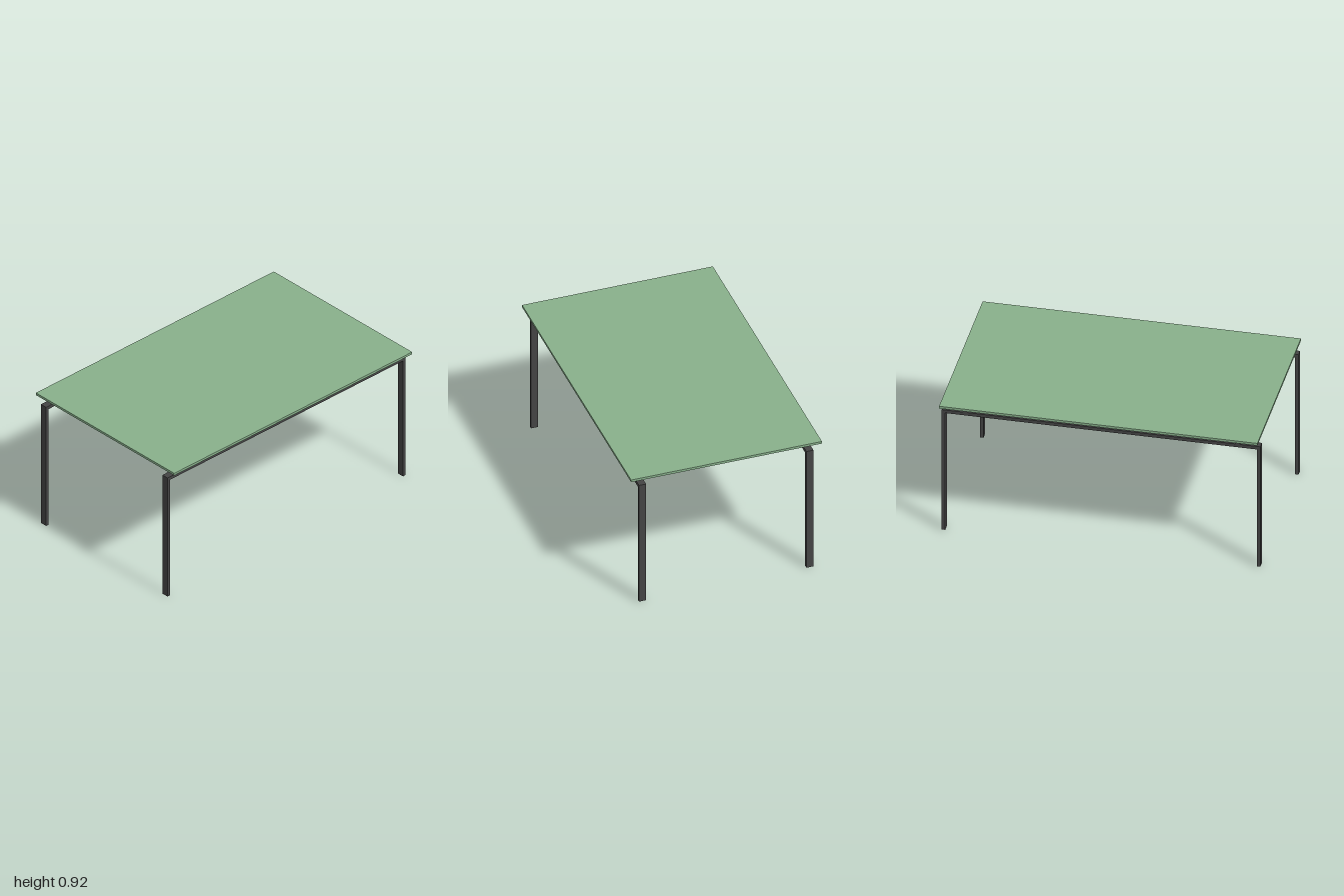
import * as THREE from 'three';

const frameMaterial = new THREE.MeshStandardMaterial({ color: 0x444444 });
const topMaterial = new THREE.MeshStandardMaterial({ color: 0x88b08b });

const BAR = 0.046;      // width of the flat bars
const THICK = 0.022;    // thickness of the flat bars
const HALF_X = 0.566;   // outer half width of the frame
const FRONT = 1.0, BACK = -0.995;
const FRAME_Y = 0.864, TOP_Y = 0.904, HEIGHT = 0.92;

function box(name, material, w, h, d, x, y, z) {
  const mesh = new THREE.Mesh(new THREE.BoxGeometry(w, h, d), material);
  mesh.name = name;
  mesh.position.set(x, y, z);
  return mesh;
}

// Flat bar bent into two legs joined by a long rail
function sideFrame(name, side) {
  const profile = new THREE.Shape([
    [-FRONT, 0], [-FRONT + THICK, 0], [-FRONT + THICK, FRAME_Y - THICK],
    [-BACK - THICK, FRAME_Y - THICK], [-BACK - THICK, 0], [-BACK, 0],
    [-BACK, FRAME_Y], [-FRONT, FRAME_Y],
  ].map(([z, y]) => new THREE.Vector2(z, y)));
  const geometry = new THREE.ExtrudeGeometry(profile, { depth: BAR, bevelEnabled: false });
  geometry.translate(0, 0, -BAR / 2);
  geometry.rotateY(Math.PI / 2);
  const mesh = new THREE.Mesh(geometry, frameMaterial);
  mesh.name = name;
  mesh.position.x = side * (HALF_X - BAR / 2);
  return mesh;
}

export function createModel() {
  const table = new THREE.Group();
  table.name = 'table';

  table.add(sideFrame('leftLegFrame', 1), sideFrame('rightLegFrame', -1));

  // Cross bars resting on the rails and carrying the top
  for (const [name, z] of [['frontCrossBar', 0.857], ['backCrossBar', -0.848]]) {
    table.add(box(name, frameMaterial, HALF_X * 2, TOP_Y - FRAME_Y, 0.028,
      0, (TOP_Y + FRAME_Y) / 2, z));
  }

  // Thin table top
  table.add(box('tableTop', topMaterial, 1.238, HEIGHT - TOP_Y, 1.993,
    0, (HEIGHT + TOP_Y) / 2, -0.0035));

  return table;
}
